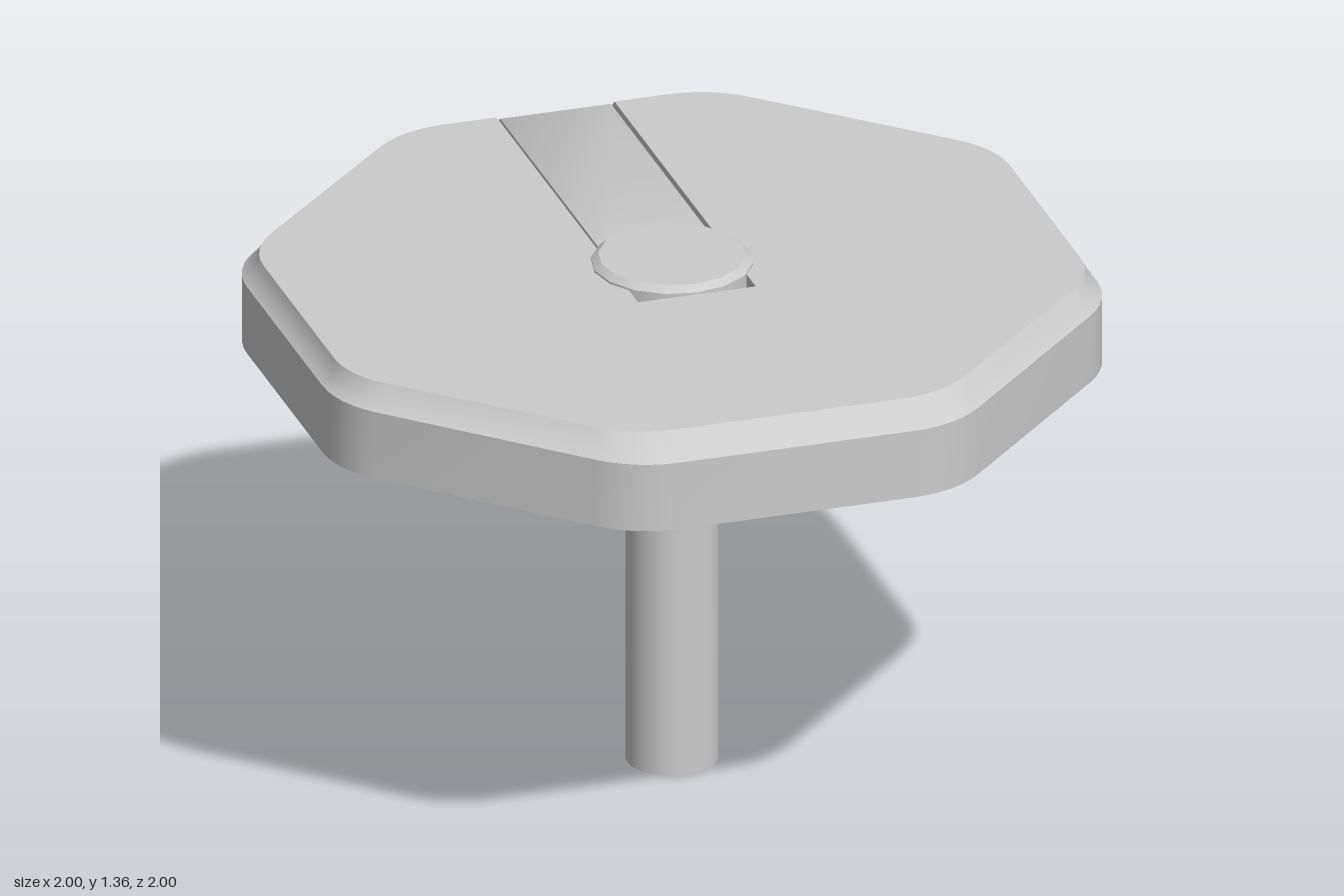
import * as THREE from 'three';
import { toCreasedNormals } from 'three/addons/utils/BufferGeometryUtils.js';

const HALF_SLOT = 0.152, SLOT_END = 0.2, SLOT_FLOOR = 1.3, TOP = 1.34;

// Rounded octagon, running from the right edge of the slot round to its left edge
function octagon(sx, sz) {
  const r = 0.27, centre = (1 - r) / Math.cos(Math.PI / 8), steps = 6;
  const pts = [new THREE.Vector2(HALF_SLOT, -sz)];
  for (let j = 0; j < 8; j++) {
    const start = -Math.PI / 2 + (j * Math.PI) / 4, mid = start + Math.PI / 8;
    for (let s = 0; s <= steps; s++) {
      const a = start + (s / steps) * (Math.PI / 4);
      pts.push(new THREE.Vector2(
        sx * (centre * Math.cos(mid) + r * Math.cos(a)),
        sz * (centre * Math.sin(mid) + r * Math.sin(a))));
    }
  }
  pts.push(new THREE.Vector2(-HALF_SLOT, -sz));
  return pts;
}

// Side wall lofted through the rings; the last band stays open at the slot
function rimGeometry(rings) {
  const pos = [], index = [], n = rings[0].pts.length;
  for (const { y, pts } of rings) for (const p of pts) pos.push(p.x, y, p.y);
  for (let k = 0; k < rings.length - 1; k++) {
    const count = k === rings.length - 2 ? n - 1 : n;
    for (let i = 0; i < count; i++) {
      const a = k * n + i, b = k * n + ((i + 1) % n);
      index.push(a, a + n, b, b, a + n, b + n);
    }
  }
  const g = new THREE.BufferGeometry();
  g.setAttribute('position', new THREE.Float32BufferAttribute(pos, 3));
  g.setIndex(index);
  return toCreasedNormals(g, 0.6);
}

export function createModel() {
  const model = new THREE.Group();
  const grey = new THREE.MeshStandardMaterial({ color: 0xcccccc });
  const thin = new THREE.MeshStandardMaterial({ color: 0xcccccc, side: THREE.DoubleSide });
  const add = (name, geometry, y = 0, material = grey, parent = model) => {
    const mesh = new THREE.Mesh(geometry, material);
    mesh.name = name;
    mesh.position.y = y;
    parent.add(mesh);
    return mesh;
  };

  // Octagonal disc with a bevelled upper rim
  const disc = new THREE.Group();
  disc.name = 'disc';
  model.add(disc);
  const rings = [[1.1, 1, 1], [1.28, 1, 1], [SLOT_FLOOR, 0.977, 0.977], [TOP, 0.963, 0.935]]
    .map(([y, sx, sz]) => ({ y, pts: octagon(sx, sz) }));
  add('discRim', rimGeometry(rings), 0, grey, disc);
  add('discUnderside', new THREE.ShapeGeometry(new THREE.Shape(rings[0].pts)).rotateX(Math.PI / 2), 1.1, grey, disc);

  // Top face, cut away along the slot
  const outline = rings[3].pts.concat(
    new THREE.Vector2(-HALF_SLOT, SLOT_END), new THREE.Vector2(HALF_SLOT, SLOT_END));
  const topShape = new THREE.Shape(outline.map((p) => new THREE.Vector2(p.x, -p.y)));
  add('discTop', new THREE.ShapeGeometry(topShape).rotateX(-Math.PI / 2), TOP, grey, disc);

  // Slot floor and walls
  const length = SLOT_END + 0.977;
  const floor = new THREE.PlaneGeometry(HALF_SLOT * 2, length).rotateX(-Math.PI / 2);
  add('slotFloor', floor.translate(0, 0, SLOT_END - length / 2), SLOT_FLOOR, grey, disc);
  const side = new THREE.Shape([
    new THREE.Vector2(-0.977, SLOT_FLOOR), new THREE.Vector2(SLOT_END, SLOT_FLOOR),
    new THREE.Vector2(SLOT_END, TOP), new THREE.Vector2(-0.935, TOP)]);
  for (const s of [-1, 1]) {
    const wall = new THREE.ShapeGeometry(side).rotateY(-Math.PI / 2);
    add(s > 0 ? 'leftSlotWall' : 'rightSlotWall', wall.translate(s * HALF_SLOT, 0, 0), 0, thin, disc);
  }
  const end = new THREE.PlaneGeometry(HALF_SLOT * 2, TOP - SLOT_FLOOR).translate(0, 0, SLOT_END);
  add('slotEndWall', end, (TOP + SLOT_FLOOR) / 2, thin, disc);

  // Pointer strip lying in the slot, sloping down at the rim
  const strip = new THREE.Shape([
    new THREE.Vector2(-0.977, 1.29), new THREE.Vector2(-0.05, 1.29), new THREE.Vector2(-0.05, 1.335),
    new THREE.Vector2(-0.935, 1.335), new THREE.Vector2(-0.977, 1.302)]);
  const stripGeometry = new THREE.ExtrudeGeometry(strip, { depth: 0.286, bevelEnabled: false })
    .rotateY(-Math.PI / 2).translate(0.143, 0, 0);
  add('slotStrip', toCreasedNormals(stripGeometry, 0.75));

  // Low chamfered hub cap and the stem below
  add('hubBase', new THREE.CylinderGeometry(0.2, 0.2, 0.045, 16, 1, true), 1.3225);
  add('hubCap', new THREE.CylinderGeometry(0.182, 0.2, 0.015, 16), 1.3525);
  add('stem', new THREE.CylinderGeometry(0.115, 0.115, 1.1, 32), 0.55);
  return model;
}
